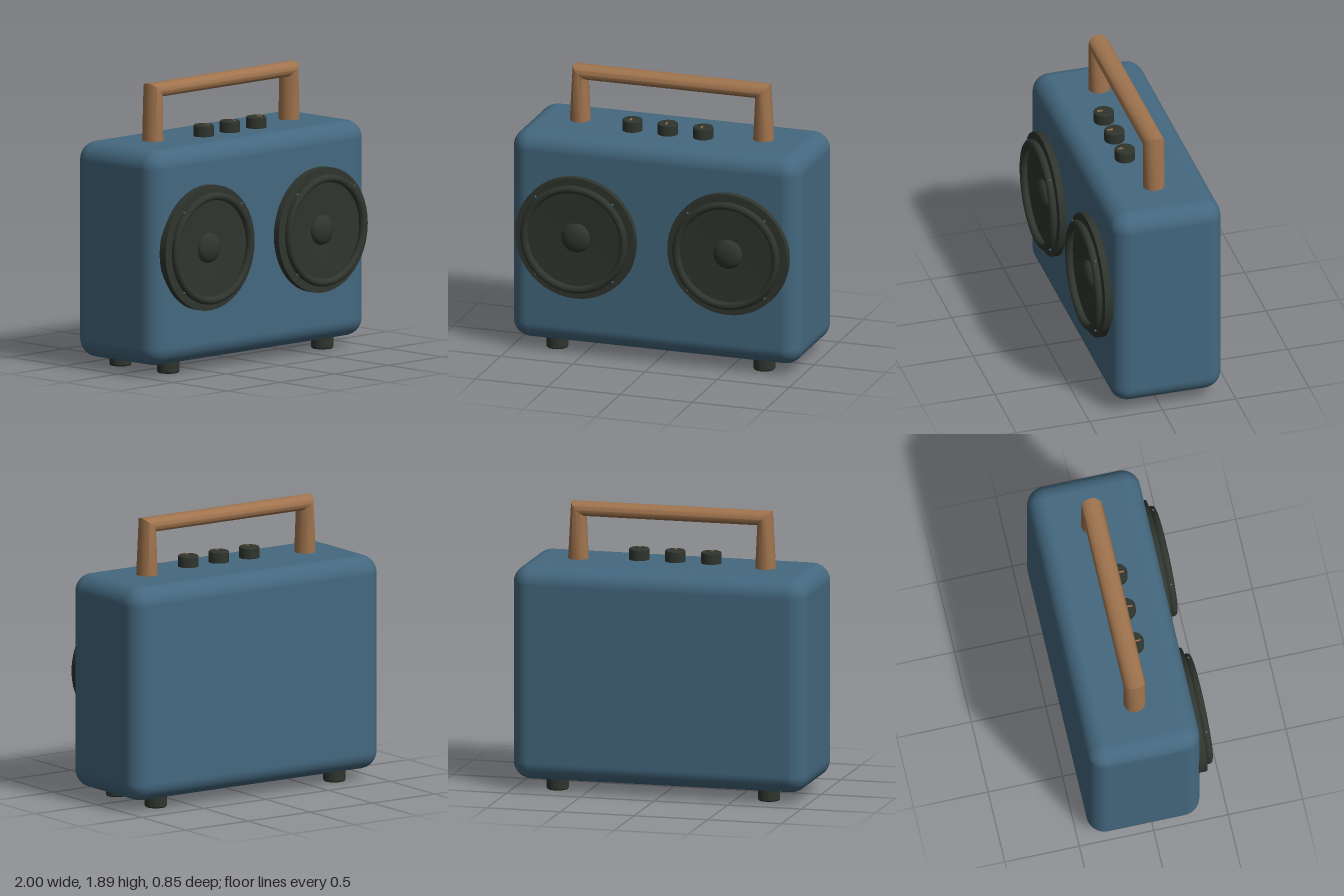
import * as THREE from 'three';
import { RoundedBoxGeometry } from 'three/addons/geometries/RoundedBoxGeometry.js';
import { toCreasedNormals } from 'three/addons/utils/BufferGeometryUtils.js';

const material = (name, color) => {
  const m = new THREE.MeshStandardMaterial({ color });
  m.name = name;
  return m;
};

// Lathe with crisp edges, from [radius, height] pairs
function turned(points, segments) {
  const g = new THREE.LatheGeometry(points.map(([r, h]) => new THREE.Vector2(r, h)), segments);
  return toCreasedNormals(g, 0.6);
}

// Elliptical section swept through mitred corners: each ring is [x, y, offsetX, offsetY]
function handleGeometry(rings, halfDepth, sides) {
  const positions = [], index = [];
  for (const [x, y, ox, oy] of rings) {
    for (let i = 0; i < sides; i++) {
      const a = (i / sides) * Math.PI * 2, c = Math.cos(a);
      positions.push(x + ox * c, y + oy * c, halfDepth * Math.sin(a));
    }
  }
  for (let r = 0; r < rings.length - 1; r++) {
    for (let i = 0; i < sides; i++) {
      const j = (i + 1) % sides;
      const a = r * sides + i, b = r * sides + j, c = a + sides, d = b + sides;
      index.push(a, b, c, b, d, c);
    }
  }
  // close both feet of the handle
  const last = (rings.length - 1) * sides;
  for (let i = 1; i < sides - 1; i++) {
    index.push(0, i + 1, i, last, last + i, last + i + 1);
  }
  const g = new THREE.BufferGeometry();
  g.setAttribute('position', new THREE.Float32BufferAttribute(positions, 3));
  g.setIndex(index);
  return toCreasedNormals(g, 0.65);
}

export function createModel() {
  const blue = material('blue shell', 0x44687f);
  const dark = material('dark rubber', 0x30352e);
  const wood = material('tan wood', 0xa0744e);

  const model = new THREE.Group();
  model.name = 'portableSpeaker';
  const add = (parent, name, geometry, mat, x = 0, y = 0, z = 0) => {
    const mesh = new THREE.Mesh(geometry, mat);
    mesh.name = name;
    mesh.position.set(x, y, z);
    parent.add(mesh);
    return mesh;
  };
  const midZ = -0.047;

  // Cabinet
  add(model, 'cabinet', new RoundedBoxGeometry(2, 1.43, 0.755, 6, 0.12), blue, 0, 0.785, midZ);

  // Handle
  const handle = handleGeometry([
    [-0.635, 1.505, -0.07, 0],
    [-0.632, 1.837, -0.05, 0.05],
    [0.632, 1.837, 0.05, 0.05],
    [0.635, 1.505, 0.07, 0],
  ], 0.073, 12);
  add(model, 'handle', handle, wood, 0, 0, midZ);

  // Speakers: rim plate with shallow cone, surround ring, dust cap, screws
  const plate = turned([[0, -0.01], [0.415, -0.01], [0.415, 0.045], [0.31, 0.045], [0.1, 0.03], [0, 0.03]], 48);
  plate.rotateX(Math.PI / 2);
  const surround = new THREE.TorusGeometry(0.345, 0.026, 12, 48);
  const cap = new THREE.SphereGeometry(0.1, 24, 8, 0, Math.PI * 2, 0, Math.PI / 2);
  cap.scale(1, 0.5, 1).rotateX(Math.PI / 2);
  const screw = new THREE.SphereGeometry(0.008, 8, 6);
  for (const side of [-1, 1]) {
    const speaker = new THREE.Group();
    speaker.name = side > 0 ? 'leftSpeaker' : 'rightSpeaker';
    speaker.position.set(side * 0.527, 0.825, 0.33);
    add(speaker, 'speakerPlate', plate, dark);
    add(speaker, 'surroundRing', surround, dark, 0, 0, 0.07);
    add(speaker, 'dustCap', cap, dark, 0, 0, 0.03);
    for (const sx of [-1, 1]) {
      for (const sy of [-1, 1]) add(speaker, 'screw', screw, blue, sx * 0.266, sy * 0.266, 0.069);
    }
    model.add(speaker);
  }

  // Control knobs with pointer marks
  const knob = turned([[0, 0], [0.067, 0], [0.067, 0.068], [0.061, 0.075], [0, 0.075]], 24);
  const pointer = new THREE.BoxGeometry(0.009, 0.008, 0.035);
  for (const x of [-0.245, 0, 0.245]) {
    add(model, 'knob', knob, dark, x, 1.5, 0.036);
    add(model, 'knobPointer', pointer, wood, x, 1.578, 0.064);
  }

  // Feet
  const foot = turned([[0, 0], [0.067, 0], [0.073, 0.008], [0.073, 0.08], [0, 0.08]], 24);
  for (const x of [-0.717, 0.717]) {
    for (const z of [-0.263, 0.177]) add(model, 'foot', foot, dark, x, 0, z);
  }

  return model;
}
